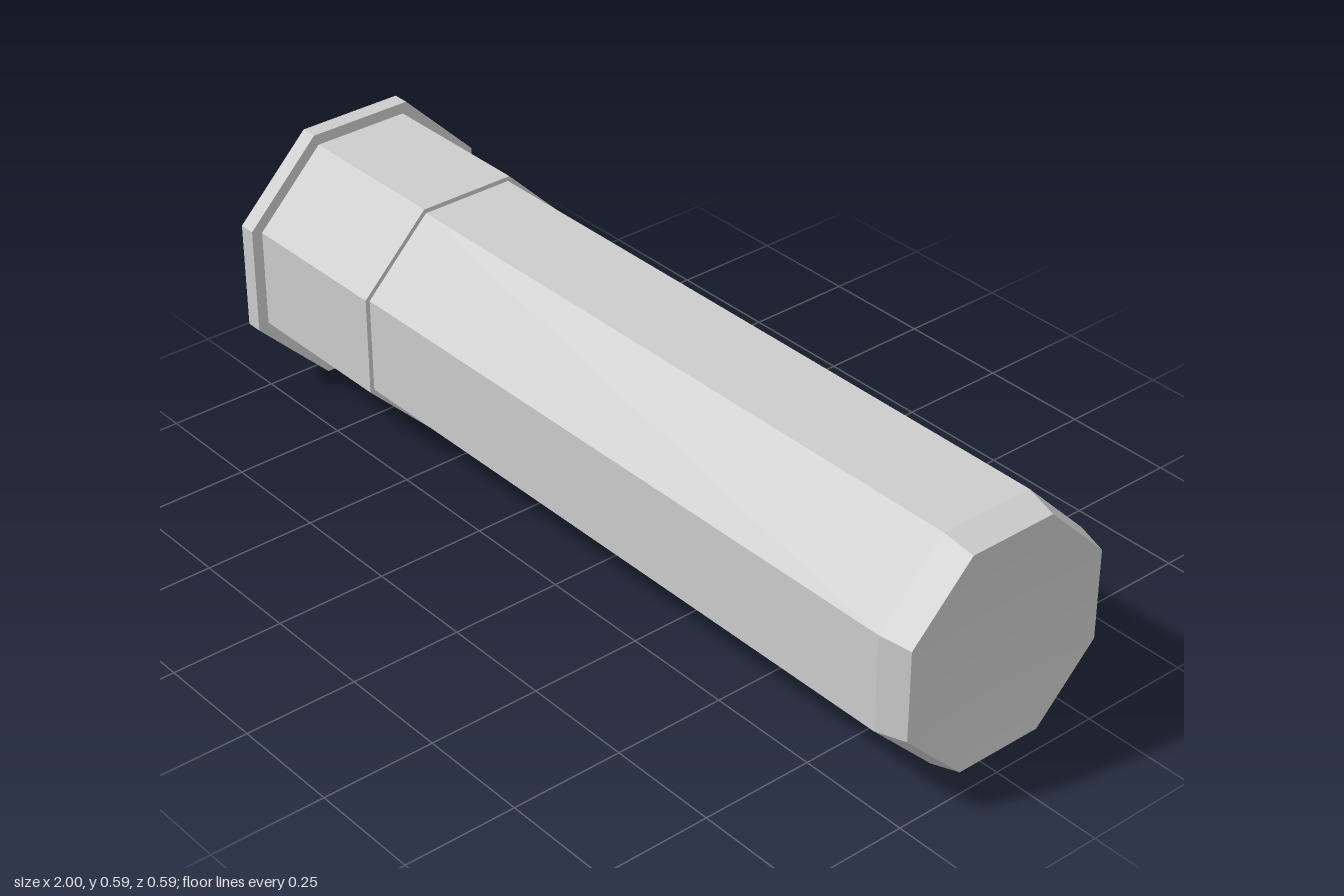
import * as THREE from 'three';

const SIDES = 8;
const TURN = Math.PI / SIDES; // turns the octagon so flats face up, down, front and back
const CENTRE_Y = 0.295;
const corner = (apothem) => apothem / Math.cos(TURN);

export function createModel() {
  const group = new THREE.Group();
  group.name = 'octagonalCartridge';
  const grey = new THREE.MeshStandardMaterial({ color: 0xcccccc });
  grey.name = 'light grey';

  // Lays a part built along y onto the x axis
  const place = (name, geometry) => {
    geometry.rotateZ(-Math.PI / 2);
    geometry.translate(0, CENTRE_Y, 0);
    const mesh = new THREE.Mesh(geometry, grey);
    mesh.name = name;
    group.add(mesh);
  };

  // Faceted eight-sided section from x0 to x1, sized by the distance to its flats
  const section = (name, x0, x1, a0, a1, open) => {
    const geometry = new THREE.CylinderGeometry(
      corner(a1), corner(a0), x1 - x0, SIDES, 1, open, TURN).toNonIndexed();
    geometry.computeVertexNormals();
    geometry.translate(0, (x0 + x1) / 2, 0);
    place(name, geometry);
  };

  section('baseRim', -1, -0.962, 0.295, 0.295, false);
  section('baseCollar', -0.962, -0.588, 0.27, 0.27, false);
  section('tube', -0.588, 0.932, 0.26, 0.26, true);
  section('tipBevel', 0.932, 1, 0.26, 0.243, true);

  // Shallow, smoothly hollowed end face
  const depth = 0.02;
  const profile = [1, 0.75, 0.5, 0.25, 0].map((t) =>
    new THREE.Vector2(corner(0.243) * t, 1 - depth * (1 - t * t)));
  place('endDish', new THREE.LatheGeometry(profile, SIDES, TURN));

  return group;
}
